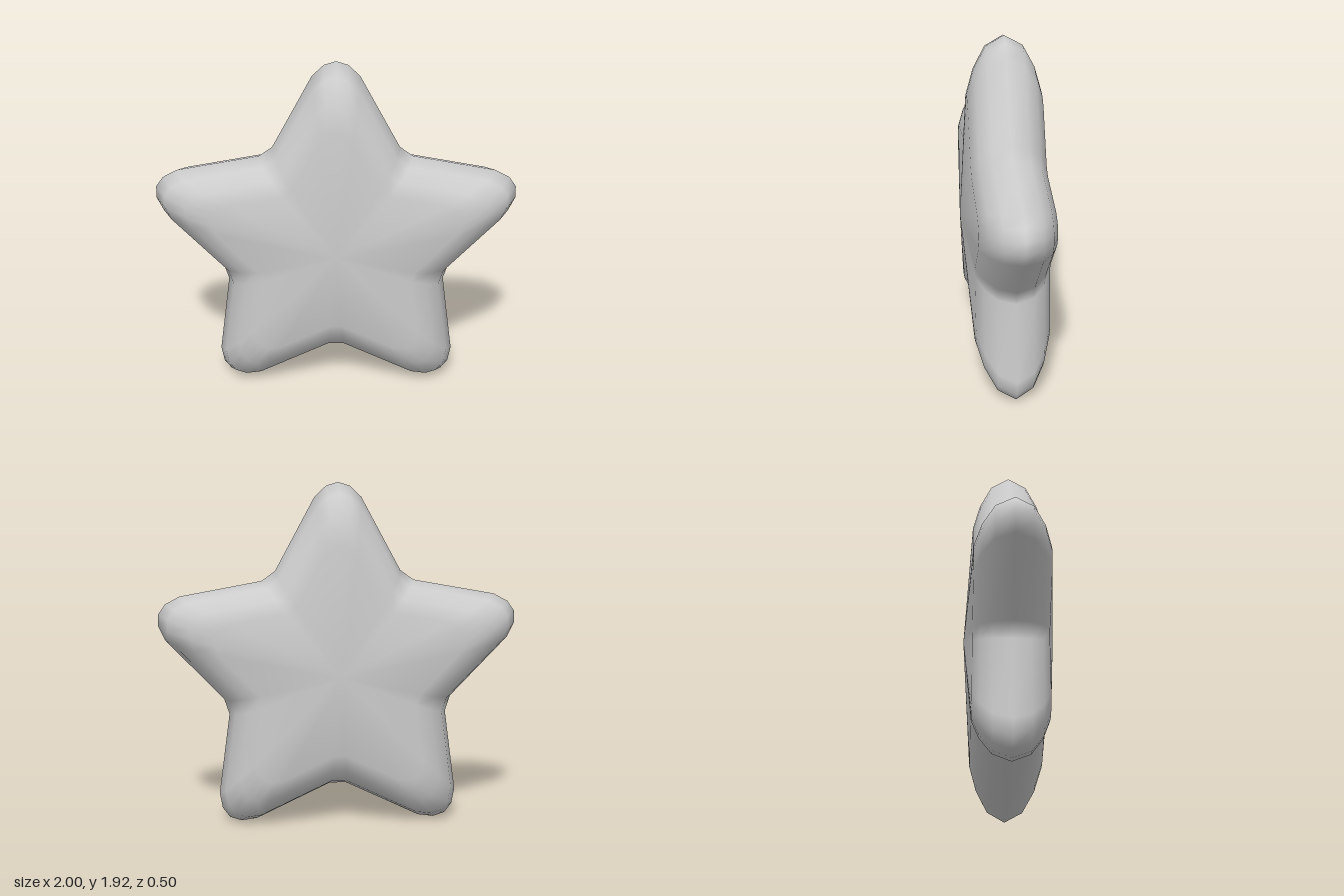
import * as THREE from 'three';

const CENTER_Y = 0.875;
// Half of one arm (arm pointing up): valley edge, shoulder, near tip, tip
const HALF_ARM = [[0.35, 0.56], [0.13, 0.968], [0.065, 1.03], [0, 1.05]];
// Puffed profile from front to back: [outline scale, z]
const LEVELS = [[0.686, 0.205], [0.825, 0.165], [0.945, 0.1], [1, 0],
  [0.945, -0.1], [0.825, -0.165], [0.686, -0.205]];
const PEAK_Z = 0.25;

// Clockwise five-armed outline around the origin
function starOutline() {
  const left = HALF_ARM.map(([x, y]) => [-x, y]);
  const arm = [...left, ...HALF_ARM.slice(0, -1).reverse()];
  const points = [];
  for (let i = 0; i < 5; i++) {
    const a = -i * Math.PI * 2 / 5;
    for (const [x, y] of arm) points.push(new THREE.Vector2(x, y).rotateAround(new THREE.Vector2(), a));
  }
  return points;
}

function starGeometry() {
  const outline = starOutline();
  const n = outline.length;
  const positions = [];
  const index = [];
  for (const [s, z] of LEVELS) {
    for (const p of outline) positions.push(p.x * s, CENTER_Y + p.y * s, z);
  }
  const front = LEVELS.length * n;
  const back = front + 1;
  positions.push(0, CENTER_Y, PEAK_Z, 0, CENTER_Y, -PEAK_Z);

  const last = (LEVELS.length - 1) * n;
  for (let j = 0; j < n; j++) {
    const next = (j + 1) % n;
    // Rounded rim
    for (let k = 0; k < LEVELS.length - 1; k++) {
      const a = k * n + j, b = k * n + next;
      index.push(a, b, a + n, b, b + n, a + n);
    }
    // Front and back faces rise to a shared peak
    index.push(front, next, j);
    index.push(back, last + j, last + next);
  }
  const geometry = new THREE.BufferGeometry();
  geometry.setAttribute('position', new THREE.Float32BufferAttribute(positions, 3));
  geometry.setIndex(index);
  geometry.computeVertexNormals();
  return geometry;
}

export function createModel() {
  const group = new THREE.Group();
  group.name = 'puffyStar';
  const star = new THREE.Mesh(starGeometry(), new THREE.MeshStandardMaterial({ color: 0xcccccc }));
  star.name = 'starBody';
  group.add(star);
  return group;
}
